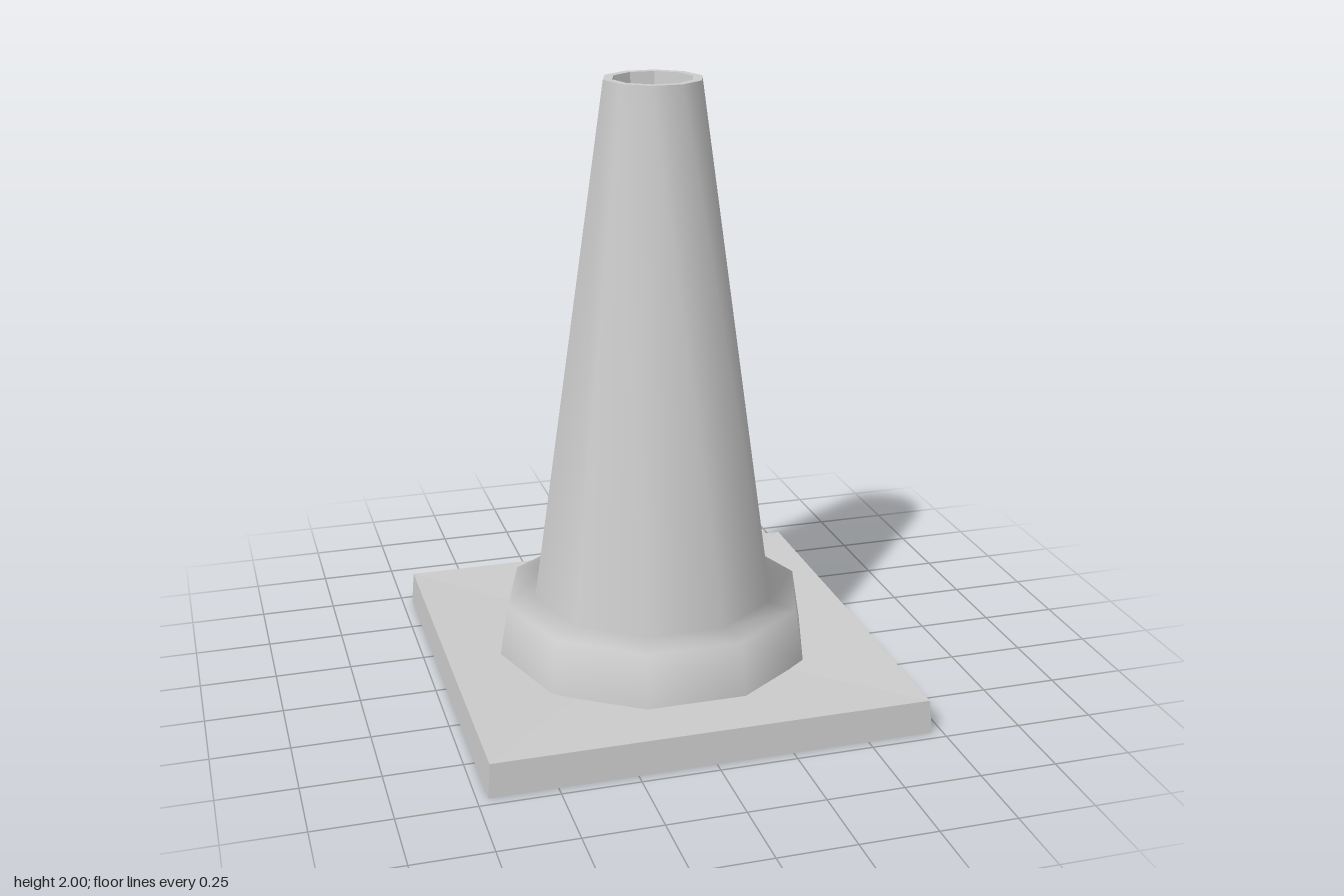
import * as THREE from 'three';

const smooth = new THREE.MeshStandardMaterial({ color: 0xcccccc });
const faceted = new THREE.MeshStandardMaterial({ color: 0xcccccc, flatShading: true });

// Revolve a [radius, y] profile with the given number of sides
function revolve(name, profile, sides, start, material) {
  const points = profile.map(([r, y]) => new THREE.Vector2(r, y));
  const mesh = new THREE.Mesh(new THREE.LatheGeometry(points, sides, start), material);
  mesh.name = name;
  return mesh;
}

export function createModel() {
  const group = new THREE.Group();
  group.name = 'trafficCone';

  // Square foot with slightly tapered sides, open under the cone
  const d = Math.SQRT2;
  group.add(revolve('base',
    [[0, 0], [0.715 * d, 0], [0.707 * d, 0.11], [0.35 * d, 0.097]],
    4, Math.PI / 4, faceted));

  // Ten-sided collar and tapered body, shaded as one soft surface
  group.add(revolve('coneBody',
    [[0.53, 0.09], [0.5, 0.277], [0.407, 0.293], [0.16, 2]],
    10, Math.PI / 2, smooth));

  // Flat rim and the faceted wall of the top opening
  group.add(revolve('rimAndOpening',
    [[0.16, 2], [0.13, 2], [0.096, 1.7]],
    10, Math.PI / 2, faceted));

  return group;
}
